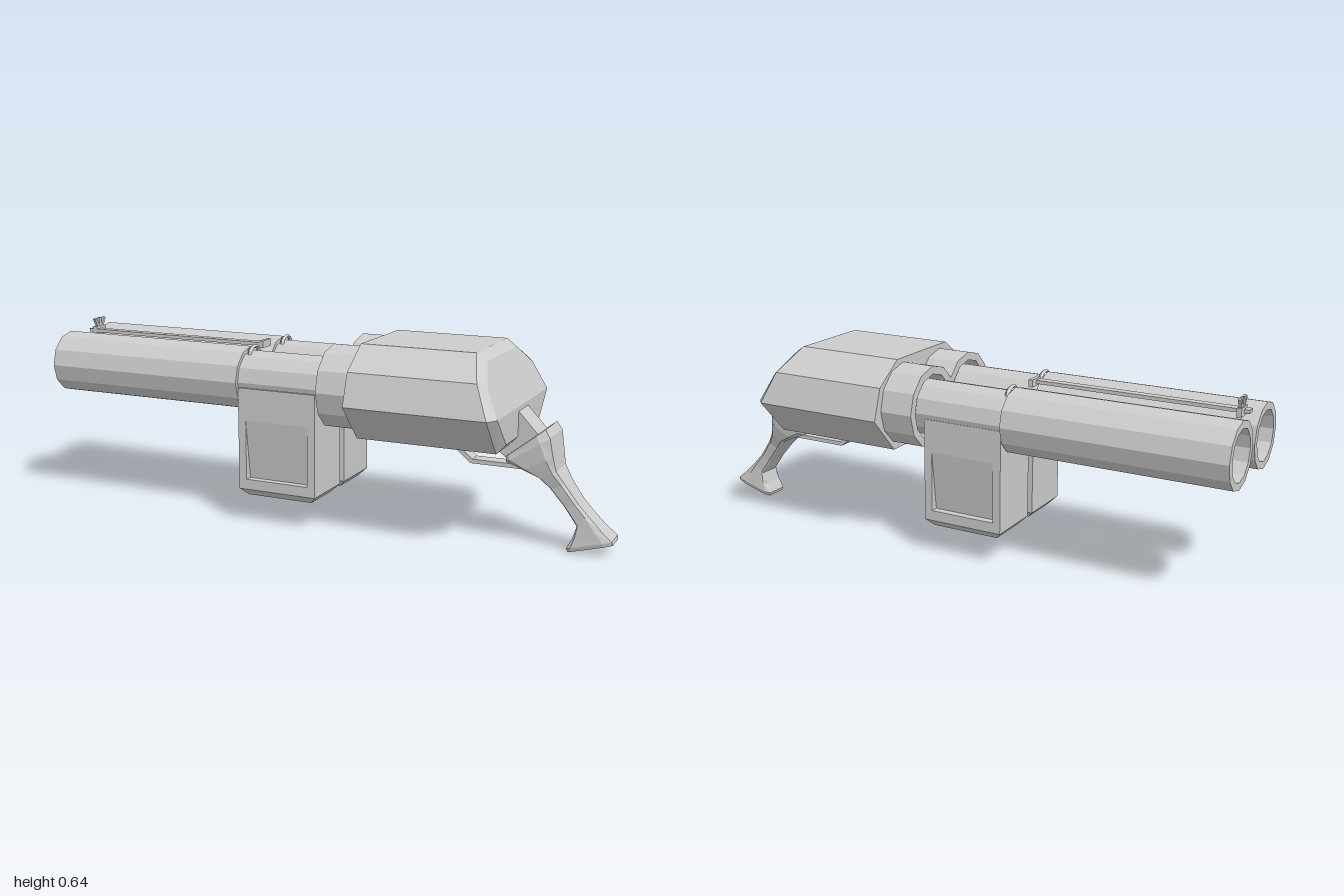
import * as THREE from 'three';
import { ConvexGeometry } from 'three/addons/geometries/ConvexGeometry.js';

const mat = new THREE.MeshStandardMaterial({ color: 0xcccccc, flatShading: true, side: THREE.DoubleSide });
const V = (x, y, z) => new THREE.Vector3(x, y, z);

function add(parent, name, geo, x = 0, y = 0, z = 0) {
  const m = new THREE.Mesh(geo, mat);
  m.name = name;
  m.position.set(x, y, z);
  parent.add(m);
  return m;
}
const box = (w, h, d) => new THREE.BoxGeometry(w, h, d);

// Twelve-sided tube along x, from x0 to x1
function tube(x0, x1, rOut, rIn) {
  const p = [[rIn, x0], [rOut, x0], [rOut, x1], [rIn, x1], [rIn, x0]].map(a => new THREE.Vector2(...a));
  return new THREE.LatheGeometry(p, 12).rotateZ(-Math.PI / 2);
}

// Skin over equal-sized rings of points, with both ends closed
function loft(rings) {
  const n = rings[0].length, pos = [], idx = [];
  rings.forEach(r => r.forEach(p => pos.push(p.x, p.y, p.z)));
  for (let i = 0; i < rings.length - 1; i++)
    for (let j = 0; j < n; j++) {
      const a = i * n + j, b = i * n + (j + 1) % n;
      idx.push(a, b, a + n, b, b + n, a + n);
    }
  const last = (rings.length - 1) * n;
  for (let j = 1; j < n - 1; j++) {
    idx.push(0, j + 1, j);
    idx.push(last, last + j, last + j + 1);
  }
  const g = new THREE.BufferGeometry();
  g.setAttribute('position', new THREE.Float32BufferAttribute(pos, 3));
  g.setIndex(idx);
  g.computeVertexNormals();
  return g;
}

// Rectangle path around the origin in x
function rect(path, x0, y0, x1, y1) {
  path.moveTo(x0, y0);
  path.lineTo(x1, y0);
  path.lineTo(x1, y1);
  path.lineTo(x0, y1);
  path.closePath();
  return path;
}

// Lower block with a wedge-shaped recess on its outer (+z) side
function makeBlock() {
  const g = new THREE.Group();
  g.name = 'lowerBlock';
  const hx = 0.143, zi = -0.1, zm = 0.07, zo = 0.097;
  add(g, 'blockCore', box(2 * hx, 0.35, zm - zi), 0, 0.295, (zi + zm) / 2);
  const frame = rect(new THREE.Shape(), -hx, 0.12, hx, 0.47);
  frame.holes.push(rect(new THREE.Path(), -0.115, 0.155, 0.115, 0.36));
  add(g, 'blockFrame', new THREE.ExtrudeGeometry(frame, { depth: zo - zm, bevelEnabled: false }), 0, 0, zm);
  add(g, 'recessSlope', new ConvexGeometry([-0.115, 0.115].flatMap(x =>
    [V(x, 0.36, zo), V(x, 0.36, zm), V(x, 0.155, zm)])));
  const foot = [];
  for (const [y, c] of [[0.12, 0], [0.095, 0.024]])
    for (const x of [-hx + c, hx - c])
      for (const z of [zi + c, zo - c]) foot.push(V(x, y, z));
  add(g, 'blockFoot', new ConvexGeometry(foot));
  return g;
}

// Grip cross-section: chamfered slab from front point to back point
function gripRing([fx, fy, bx, by, w]) {
  const c = 0.1, k = 0.84;
  const at = (t, z) => V(fx + (bx - fx) * t, fy + (by - fy) * t, z);
  return [at(0, -w * k), at(c, -w), at(1 - 2 * c, -w), at(1, -w * k),
    at(1, w * k), at(1 - 2 * c, w), at(c, w), at(0, w * k)];
}

export function createModel() {
  const model = new THREE.Group();
  model.name = 'doubleBarrelBlaster';
  const axisY = 0.487;

  for (const s of [1, -1]) {
    const side = new THREE.Group();
    side.name = s > 0 ? 'leftBarrelGroup' : 'rightBarrelGroup';
    side.position.z = s * 0.117 - 0.003;
    model.add(side);
    add(side, 'barrel', tube(-1, -0.248, 0.109, 0.084), 0, axisY);
    add(side, 'receiver', tube(-0.25, 0.2, 0.096, 0.07), 0, axisY);
    add(side, 'collar', tube(0.063, 0.2, 0.14, 0.112), 0, axisY);
    // Small arched clip over the joint
    const clip = add(side, 'clip', new THREE.TorusGeometry(0.033, 0.008, 4, 6, Math.PI), -0.235, 0.572);
    clip.rotation.y = Math.PI / 2;
    clip.scale.y = 0.75;
    const block = makeBlock();
    block.position.set(-0.102, 0, 0.003 + s * -0.001);
    if (s < 0) block.rotation.y = Math.PI;
    side.add(block);
  }

  // Sighting rib and sights
  add(model, 'rib', box(0.72, 0.012, 0.03), -0.62, 0.588, 0.013);
  add(model, 'rearSight', box(0.014, 0.025, 0.06), -0.255, 0.588);
  add(model, 'frontSightBase', box(0.016, 0.03, 0.056), -0.955, 0.588);
  add(model, 'frontSightPost', box(0.01, 0.05, 0.014), -0.955, 0.608);
  for (const s of [1, -1]) {
    const wing = add(model, 'frontSightWing', box(0.01, 0.036, 0.01), -0.955, 0.616, s * 0.019);
    wing.rotation.x = s * 0.5;
  }

  // Faceted rear body: rings of [x, y, half width]
  const outer = [[0.57, 0.642, 0.155], [0.61, 0.567, 0.262], [0.655, 0.46, 0.298], [0.652, 0.335, 0.184]];
  const end = [[0.605, 0.618, 0.148], [0.635, 0.556, 0.236], [0.68, 0.462, 0.268], [0.68, 0.365, 0.172]];
  const pts = [];
  for (const s of [1, -1]) {
    for (const [x, y, z] of outer) pts.push(V(x, y, s * z), V(0.18, y, s * z));
    for (const [x, y, z] of end) pts.push(V(x, y, s * z));
  }
  add(model, 'body', new ConvexGeometry(pts));

  // Slanted neck joining body and grip
  add(model, 'gripNeck', new ConvexGeometry([-0.051, 0.051].flatMap(z =>
    [V(0.64, 0.447, z), V(0.68, 0.447, z), V(0.745, 0.378, z), V(0.65, 0.287, z), V(0.57, 0.345, z)])));

  // Flared grip: front x, front y, back x, back y, half width
  const grip = [
    [0.647, 0.3, 0.773, 0.4, 0.08],
    [0.65, 0.284, 0.79, 0.375, 0.085],
    [0.705, 0.262, 0.8, 0.315, 0.08],
    [0.757, 0.238, 0.81, 0.265, 0.067],
    [0.79, 0.205, 0.835, 0.225, 0.052],
    [0.837, 0.148, 0.88, 0.163, 0.044],
    [0.878, 0.09, 0.915, 0.126, 0.043],
    [0.866, 0.05, 0.955, 0.086, 0.046],
    [0.848, 0.014, 0.992, 0.055, 0.049],
    [0.852, 0.002, 0.995, 0.043, 0.045],
  ];
  add(model, 'grip', loft(grip.map(gripRing)));

  // Bent strap guard under the body
  const guard = new THREE.Shape([[0.472, 0.345], [0.472, 0.288], [0.515, 0.252], [0.73, 0.252],
    [0.73, 0.266], [0.521, 0.266], [0.487, 0.295], [0.487, 0.345]].map(a => new THREE.Vector2(...a)));
  add(model, 'guard', new THREE.ExtrudeGeometry(guard, { depth: 0.05, bevelEnabled: false }), 0, 0, -0.025);

  return model;
}
